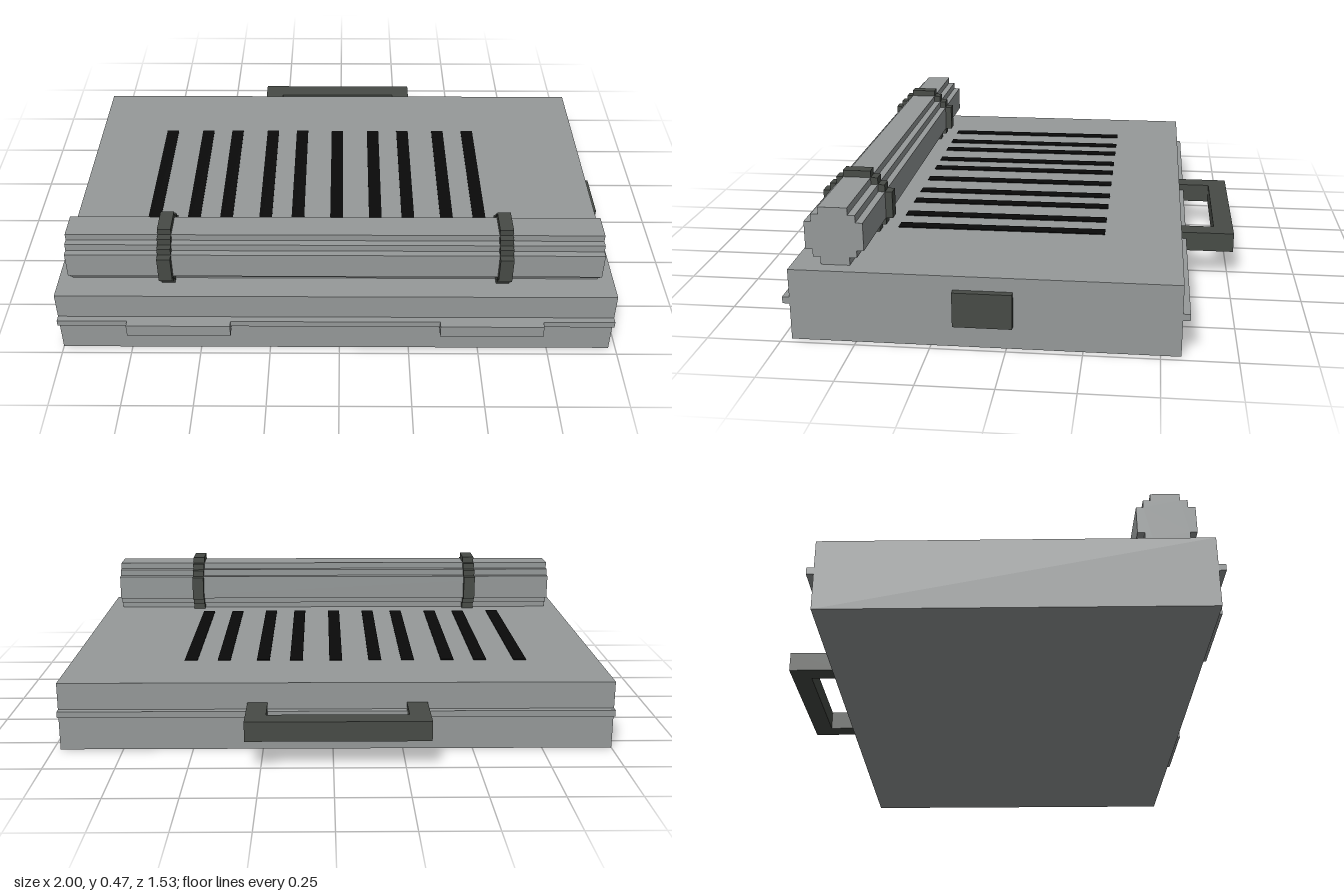
import * as THREE from 'three';

const shell = new THREE.MeshStandardMaterial({ color: 0x969a9a });
shell.name = 'shellGrey';
const trim = new THREE.MeshStandardMaterial({ color: 0x474b46 });
trim.name = 'darkTrim';
const black = new THREE.MeshStandardMaterial({ color: 0x0a0a0a });
black.name = 'ventBlack';

export function createModel() {
  const group = new THREE.Group();

  const add = (name, geometry, material) => {
    const mesh = new THREE.Mesh(geometry, material);
    mesh.name = name;
    group.add(mesh);
    return mesh;
  };

  // Box given by its extents on each axis
  const box = (name, material, [x0, x1], [y0, y1], [z0, z1]) => {
    const mesh = add(name, new THREE.BoxGeometry(x1 - x0, y1 - y0, z1 - z0), material);
    mesh.position.set((x0 + x1) / 2, (y0 + y1) / 2, (z0 + z1) / 2);
  };

  // Stepped round bar along x: steps are [half width, lower y, upper y]
  const steppedBar = (name, material, [x0, x1], centerZ, steps) => {
    const right = steps.flatMap(([w, y0, y1]) => [[w, y0], [w, y1]]);
    const left = right.map(([w, y]) => [-w, y]).reverse();
    const shape = new THREE.Shape([...right, ...left].map(([a, y]) => new THREE.Vector2(a, y)));
    const geometry = new THREE.ExtrudeGeometry(shape, { depth: x1 - x0, bevelEnabled: false });
    geometry.rotateY(Math.PI / 2);
    add(name, geometry, material).position.set(x0, 0, centerZ);
  };

  // Case with its seam strips front and back
  const width = [-1, 0.975];
  box('caseBody', shell, width, [0, 0.248], [-0.567, 0.718]);
  box('frontSeam', shell, width, [0.127, 0.15], [0.718, 0.742]);
  box('backSeam', shell, width, [0.127, 0.15], [-0.591, -0.567]);

  // Front latches
  box('rightLatch', shell, [-0.752, -0.385], [0.103, 0.1505], [0.718, 0.767]);
  box('leftLatch', shell, [0.357, 0.722], [0.103, 0.1505], [0.718, 0.767]);

  // Side plate
  box('sidePlate', trim, [0.975, 1], [0.08, 0.2], [-0.022, 0.174]);

  // U-shaped carrying handle, drawn in plan and extruded upward
  const handle = new THREE.Shape([
    [-0.336, 0.567], [-0.262, 0.567], [-0.262, 0.694], [0.232, 0.694],
    [0.232, 0.567], [0.304, 0.567], [0.304, 0.766], [-0.336, 0.766],
  ].map(([x, y]) => new THREE.Vector2(x, y)));
  const handleGeometry = new THREE.ExtrudeGeometry(handle, { depth: 0.071, bevelEnabled: false });
  handleGeometry.rotateX(-Math.PI / 2);
  add('carryHandle', handleGeometry, trim).position.y = 0.103;

  // Vent slots on the lid
  for (const x of [-0.705, -0.555, -0.432, -0.283, -0.16, -0.013, 0.135, 0.259, 0.406, 0.53]) {
    box('ventSlot', black, [x - 0.024, x + 0.024], [0.246, 0.251], [-0.297, 0.442]);
  }

  // Bedroll-like tube on top and the two straps around it
  const tubeZ = 0.572;
  steppedBar('topTube', shell, [-0.952, 0.92], tubeZ, [
    [0.049, 0.248, 0.275], [0.074, 0.275, 0.3], [0.098, 0.3, 0.397],
    [0.074, 0.397, 0.423], [0.049, 0.423, 0.448],
  ]);
  for (const x of [-0.63, 0.555]) {
    steppedBar('strap', trim, [x, x + 0.047], tubeZ, [
      [0.074, 0.248, 0.275], [0.098, 0.275, 0.3], [0.123, 0.3, 0.397],
      [0.098, 0.397, 0.423], [0.074, 0.423, 0.448], [0.049, 0.448, 0.472],
    ]);
  }

  return group;
}
